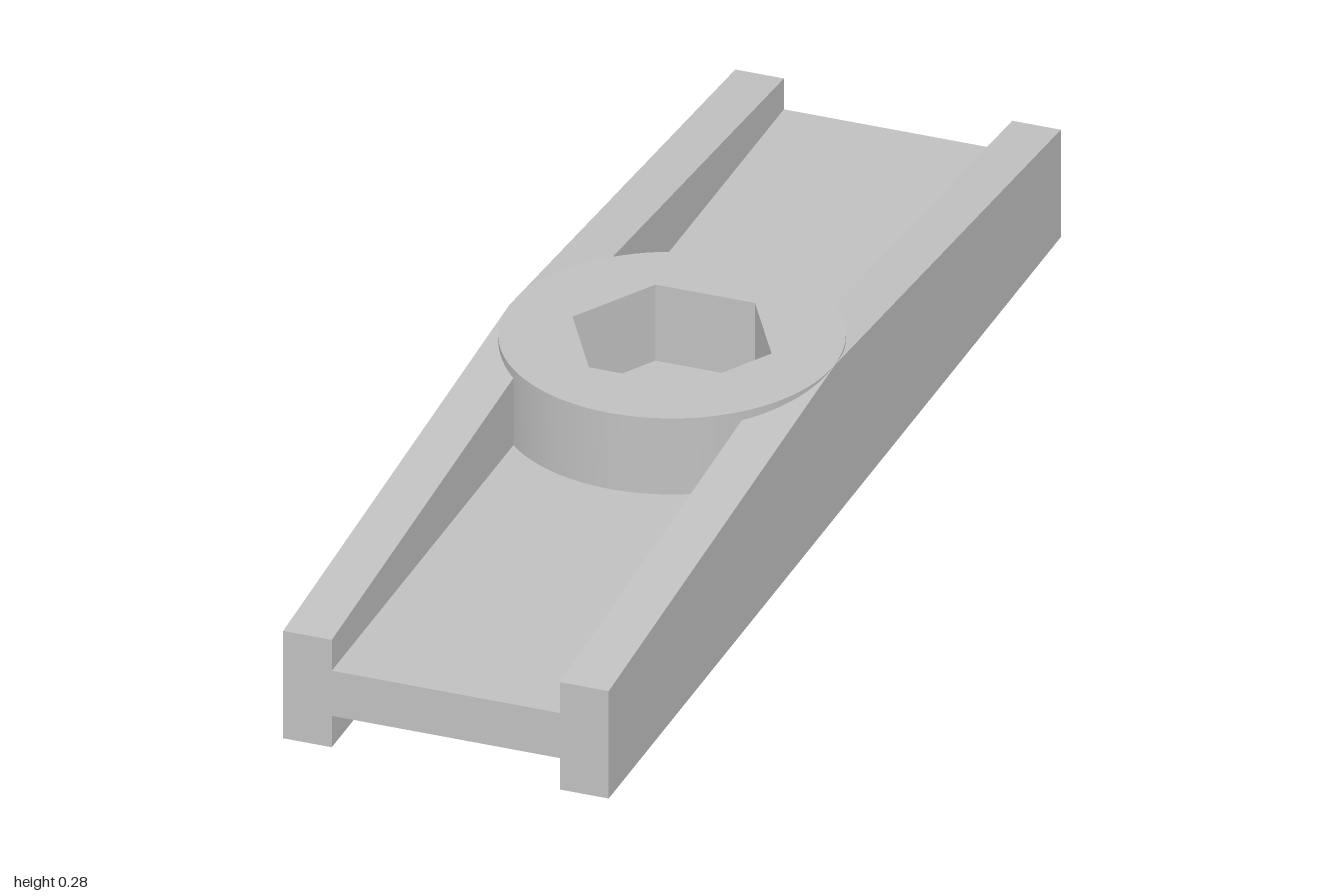
import * as THREE from 'three';
import { toCreasedNormals } from 'three/addons/utils/BufferGeometryUtils.js';

const HALF_WIDTH = 0.278, RAIL_INNER = 0.195, BOSS_R = 0.277;
const WEB_LOW = 0.057, WEB_HIGH = 0.139, TOP = 0.277, END_TOP = 0.195;

// Extrude a plan shape upward from y0 to y1
function slab(shape, y0, y1) {
  const g = new THREE.ExtrudeGeometry(shape, { depth: y1 - y0, bevelEnabled: false, curveSegments: 48 });
  g.rotateX(-Math.PI / 2);
  g.translate(0, y0, 0);
  return toCreasedNormals(g, 0.5);
}

function circle(Type, r) {
  const c = new Type();
  c.absarc(0, 0, r, 0, Math.PI * 2, Type === THREE.Path);
  return c;
}

// Round disc with one hole
function ring(hole) {
  const s = circle(THREE.Shape, BOSS_R);
  s.holes.push(hole);
  return s;
}

export function createModel() {
  const model = new THREE.Group();
  model.name = 'clampBar';
  const grey = new THREE.MeshStandardMaterial({ color: 0xc0c0c0 });
  grey.name = 'light grey';

  const add = (name, geometry) => {
    const mesh = new THREE.Mesh(geometry, grey);
    mesh.name = name;
    model.add(mesh);
    return mesh;
  };

  // Side rails, highest in the middle
  const side = new THREE.Shape([[-1, 0], [1, 0], [1, END_TOP], [0, TOP], [-1, END_TOP]]
    .map(([z, y]) => new THREE.Vector2(z, y)));
  const railWidth = HALF_WIDTH - RAIL_INNER;
  const rail = new THREE.ExtrudeGeometry(side, { depth: railWidth, bevelEnabled: false });
  rail.rotateY(-Math.PI / 2);
  rail.translate(railWidth / 2, 0, 0);
  for (const s of [-1, 1]) {
    add(s > 0 ? 'leftRail' : 'rightRail', rail).position.x = s * (RAIL_INNER + railWidth / 2);
  }

  // Web plates between the rails, curved where they meet the boss
  const a = Math.acos(RAIL_INNER / BOSS_R), z = BOSS_R * Math.sin(a);
  const web = new THREE.Shape();
  web.moveTo(RAIL_INNER, z);
  web.lineTo(RAIL_INNER, 1);
  web.lineTo(-RAIL_INNER, 1);
  web.lineTo(-RAIL_INNER, z);
  web.absarc(0, 0, BOSS_R, Math.PI - a, a, true);
  const webGeometry = slab(web, WEB_LOW, WEB_HIGH);
  add('backWeb', webGeometry);
  add('frontWeb', webGeometry).rotation.y = Math.PI;

  // Boss: hexagonal socket above, bored floor, round recess below
  const hex = new THREE.Path();
  for (let i = 0; i < 6; i++) {
    const t = -i * Math.PI / 3, x = 0.17 * Math.cos(t), y = 0.17 * Math.sin(t);
    if (i === 0) hex.moveTo(x, y);
    else hex.lineTo(x, y);
  }
  hex.closePath();
  add('bossSocket', slab(ring(hex), WEB_HIGH, TOP));
  add('bossFloor', slab(ring(circle(THREE.Path, 0.085)), WEB_LOW, WEB_HIGH));
  add('bossRecess', slab(ring(circle(THREE.Path, RAIL_INNER)), 0, WEB_LOW));

  return model;
}
